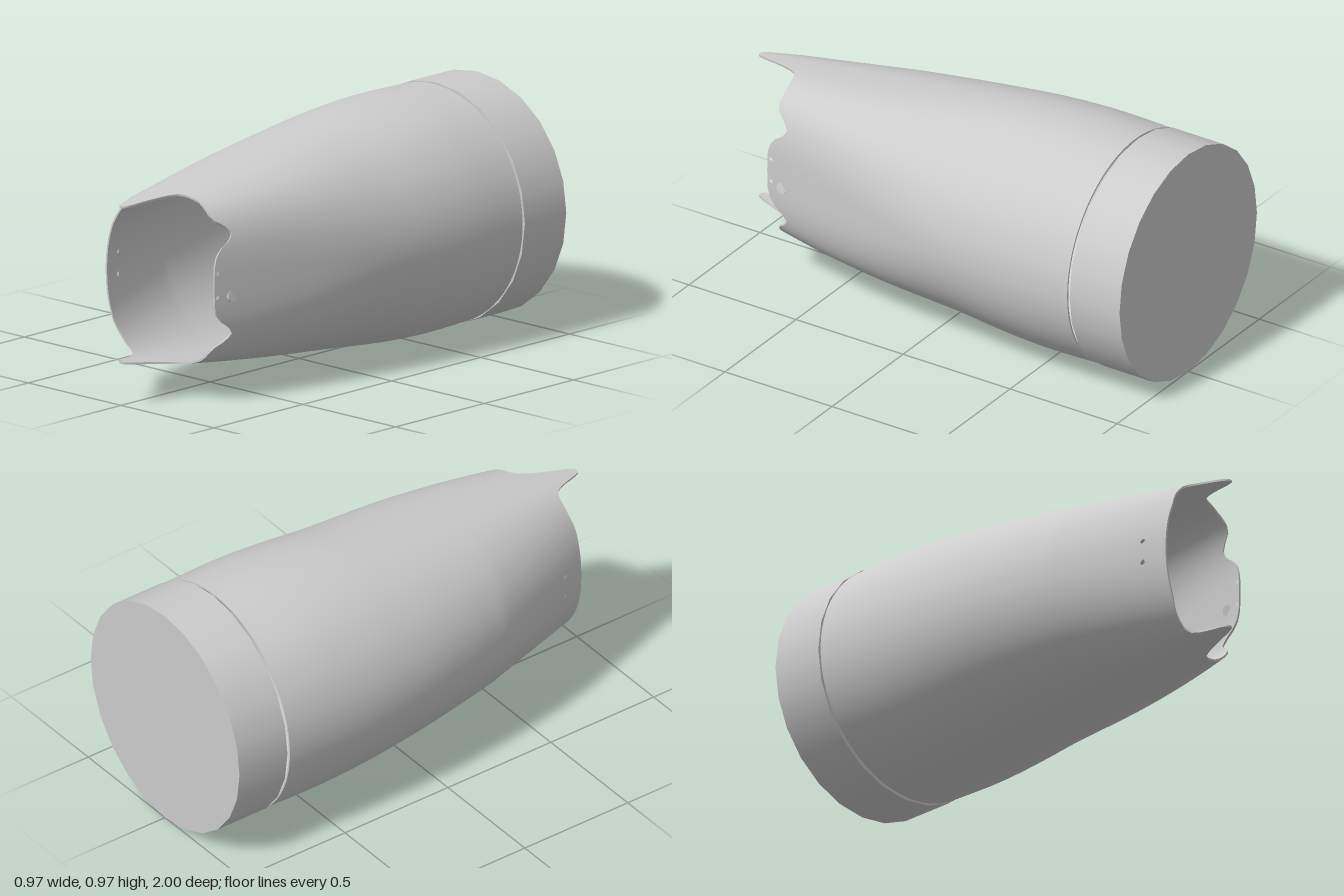
import * as THREE from 'three';
import { mergeGeometries } from 'three/addons/utils/BufferGeometryUtils.js';

const CY = 0.4835, BACK = -0.755, COLS = 144, ROWS = 72, WALL = 0.008;
const material = new THREE.MeshStandardMaterial({ color: 0xcccccc, side: THREE.DoubleSide });
const rad = THREE.MathUtils.degToRad;

// Linear lookup in a list of [position, value] pairs
function lookup(keys, p) {
  for (let k = 1; k < keys.length; k++) {
    const [p0, v0] = keys[k - 1], [p1, v1] = keys[k];
    if (p <= p1 || k === keys.length - 1) return v0 + (v1 - v0) * (p - p0) / (p1 - p0);
  }
}

// Smooth profile through [z, value] points
function smoothProfile(points) {
  const curve = new THREE.CatmullRomCurve3(points.map(([z, v]) => new THREE.Vector3(z, v, 0)), false, 'centripetal');
  return curve.getPoints(60).map((q) => [q.x, q.y]);
}

// Half-sizes of the body along z: half height, left (+x) and right (-x) half widths
const halfHeight = smoothProfile([[BACK, 0.478], [-0.5, 0.4835], [-0.25, 0.469], [-0.05, 0.446], [0.3, 0.403], [1, 0.317]]);
const plusWidth = smoothProfile([[BACK, 0.4825], [-0.5, 0.481], [-0.25, 0.465], [0, 0.44], [0.2, 0.41], [0.4, 0.37], [0.775, 0.288], [1, 0.237]]);
const minusWidth = [...smoothProfile([[BACK, 0.4835], [-0.5, 0.4835], [-0.25, 0.476], [0, 0.452], [0.2, 0.418], [0.38, 0.38]]), [0.86, 0.217], [1, 0.169]];

// Front edge: z by angle up from the +x side, mirrored above and below
const frontEdge = [[0, 0.775], [15, 0.773], [22, 0.763], [27, 0.74], [31, 0.695], [35, 0.68], [40, 0.705],
  [45, 0.74], [50, 0.752], [60, 0.75], [71, 0.765], [76, 0.785], [81, 0.87], [85, 0.96], [87.5, 0.995], [90, 1],
  [92.5, 0.995], [95, 0.965], [99, 0.89], [103, 0.853], [108, 0.843], [120, 0.848], [132, 0.86], [180, 0.86]];

// Point on the body wall: rounded section, squarer on the +x side near the front
function wallPoint(theta, z, inset) {
  const c = Math.cos(theta), s = Math.sin(theta);
  const n = 2 + (c > 0 ? 1.2 : 0.1) * THREE.MathUtils.smoothstep(z, -0.2, 0.8);
  const a = lookup(c > 0 ? plusWidth : minusWidth, z), b = lookup(halfHeight, z);
  const r = Math.pow(Math.pow(Math.abs(c) / a, n) + Math.pow(Math.abs(s) / b, n), -1 / n) - inset;
  return [r * c, CY + r * s, z];
}

// Grid of [angle, z] with the small drilled holes opened in it
function makeGrid() {
  const grid = [], dropped = new Set();
  for (let j = 0; j <= ROWS; j++) {
    for (let i = 0; i < COLS; i++) {
      const deg = i * 360 / COLS;
      const end = lookup(frontEdge, deg > 180 ? 360 - deg : deg);
      grid.push([rad(deg), BACK + (end - BACK) * j / ROWS]);
    }
  }
  const at = (i, j) => j * COLS + (i + COLS) % COLS;
  const holes = [[10, 0.757, 0.011], [351, 0.757, 0.011], [169, 0.762, 0.012], [190, 0.762, 0.012],
    [80.5, 0.55, 0.005], [279.5, 0.55, 0.005]];
  for (const [deg, z, size] of holes) {
    const i = Math.round(deg * COLS / 360);
    const [, end] = grid[at(i, ROWS)];
    const j = Math.min(ROWS - 2, Math.round((z - BACK) / (end - BACK) * ROWS));
    const [x, y] = wallPoint(rad(deg), z, 0);
    const r = Math.hypot(x, y - CY);
    for (let di = -1; di <= 1; di++) {
      for (let dj = -1; dj <= 1; dj++) {
        const t = Math.atan2(dj, di), d = di || dj ? size : 0;
        grid[at(i + di, j + dj)] = [rad(deg) + d * Math.cos(t) / r, z + d * Math.sin(t)];
        if (di < 1 && dj < 1) dropped.add(at(i + di, j + dj));
      }
    }
  }
  return { grid, dropped };
}

function meshFrom(positions, index) {
  const g = new THREE.BufferGeometry();
  g.setAttribute('position', new THREE.Float32BufferAttribute(positions, 3));
  g.setIndex(index);
  g.computeVertexNormals();
  return g;
}

// One face of the wall, outside or inside
function skin({ grid, dropped }, inset) {
  const index = [];
  for (let j = 0; j < ROWS; j++) {
    for (let i = 0; i < COLS; i++) {
      const a = j * COLS + i, b = j * COLS + (i + 1) % COLS, c = b + COLS, d = a + COLS;
      if (dropped.has(a)) continue;
      if (inset) index.push(a, c, b, a, d, c);
      else index.push(a, b, c, a, c, d);
    }
  }
  return meshFrom(grid.flatMap(([t, z]) => wallPoint(t, z, inset)), index);
}

// Narrow strip closing the wall at its front or back edge
function rim({ grid }, row) {
  const positions = [], index = [];
  for (let i = 0; i < COLS; i++) {
    const [t, z] = grid[row * COLS + i];
    positions.push(...wallPoint(t, z, 0), ...wallPoint(t, z, WALL));
    const a = 2 * i, b = 2 * ((i + 1) % COLS);
    if (row) index.push(a, b, b + 1, a, b + 1, a + 1);
    else index.push(a, b + 1, b, a, a + 1, b + 1);
  }
  return meshFrom(positions, index);
}

export function createModel() {
  const model = new THREE.Group();
  const add = (name, geometry) => {
    const mesh = new THREE.Mesh(geometry, material);
    mesh.name = name;
    model.add(mesh);
    return mesh;
  };

  // Tapered hollow body with scalloped front edge and pointed tabs
  const wall = makeGrid();
  add('taperedShell', mergeGeometries([skin(wall, 0), skin(wall, WALL), rim(wall, ROWS), rim(wall, 0)]));

  // Closed cap behind a narrow gap
  const cap = add('rearCap', new THREE.CylinderGeometry(CY, CY, 0.233, 24));
  cap.rotation.x = Math.PI / 2;
  cap.position.set(0, CY, -0.8835);

  // Small round stud on the scalloped side
  const stud = add('sideStud', new THREE.CylinderGeometry(0.023, 0.023, 0.014, 20));
  stud.rotation.z = Math.PI / 2 + 0.2;
  stud.position.set(...wallPoint(rad(-9), 0.695, 0.004));

  return model;
}
